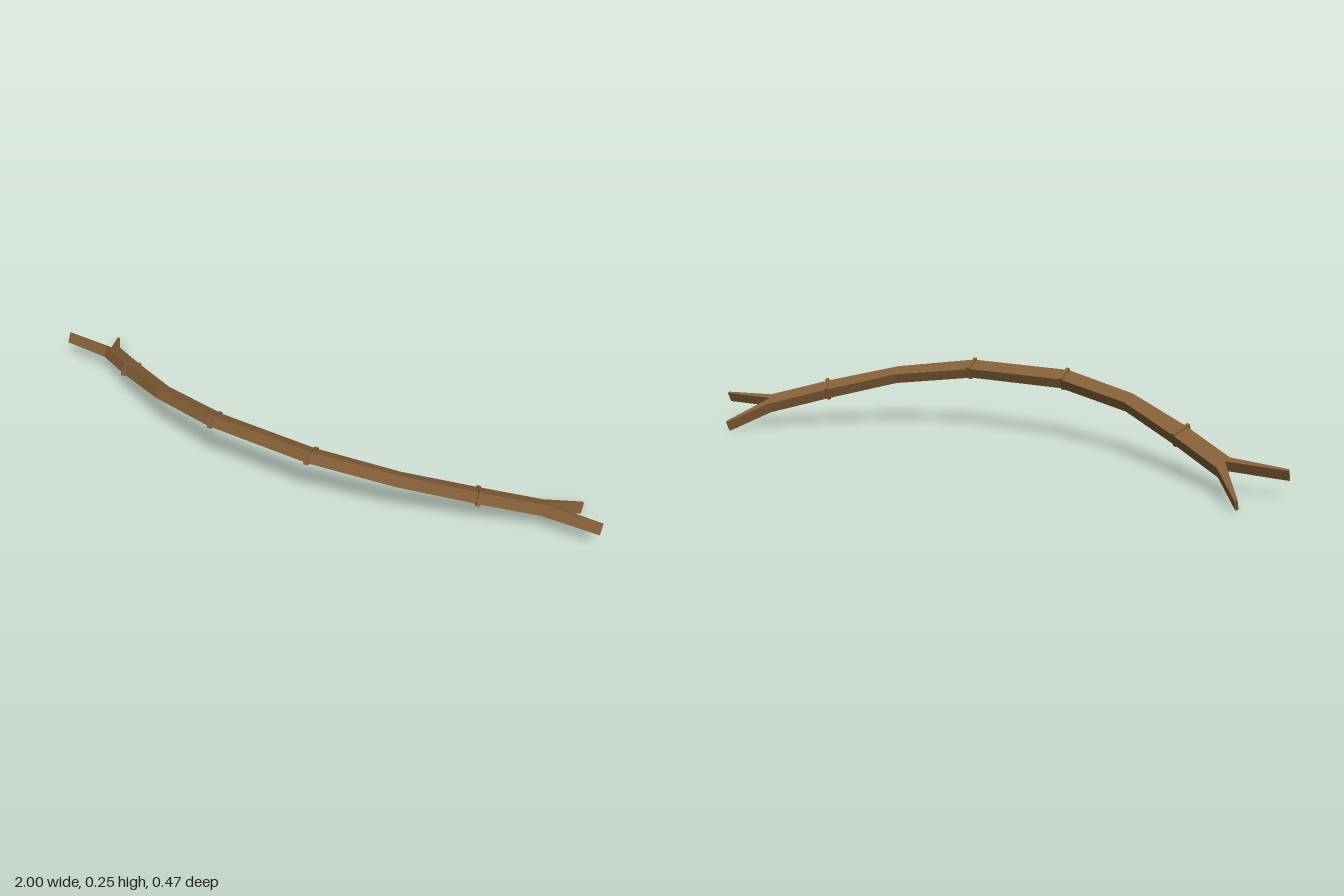
import * as THREE from 'three';

const TILT = -0.437; // the arc lies in a plane that rises towards the front

export function createModel() {
  const root = new THREE.Group();
  root.name = 'forkedBow';
  const wood = new THREE.MeshStandardMaterial({ color: 0x845f37 });
  wood.name = 'brown wood';

  // Left half of the outline (x, depth): front edge, forked end, back edge
  const half = [
    [0.178, 0.243], [0.436, 0.16], [0.655, 0.036], [0.824, -0.076],
    [1.0, -0.092], [1.0, -0.1], [0.816, -0.096],
    [0.9, -0.246], [0.892, -0.251], [0.803, -0.129],
    [0.632, -0.015], [0.425, 0.112], [0.167, 0.189],
  ];
  const mirrored = half.map(([x, d]) => [-x, d]).reverse();
  const shape = new THREE.Shape([...half, ...mirrored].map(([x, d]) => new THREE.Vector2(x, d)));

  // Curved limb with both forks, cut from one flat slab
  const limbGeometry = new THREE.ExtrudeGeometry(shape, { depth: 0.036, bevelEnabled: false });
  limbGeometry.translate(0, 0, -0.018);
  limbGeometry.rotateX(Math.PI / 2);
  const limb = new THREE.Mesh(limbGeometry, wood);
  limb.name = 'limb';

  const tilted = new THREE.Group();
  tilted.name = 'tiltedBow';
  tilted.rotation.x = TILT;
  tilted.position.y = 0.126;
  tilted.add(limb);

  // Narrow bands wrapped around the limb
  for (const side of [1, -1]) {
    for (const [name, x, depth, length, turn] of [
      ['innerBand', 0.174, 0.218, 0.06, 0],
      ['outerBand', 0.645, 0.014, 0.065, 0.48],
    ]) {
      const band = new THREE.Mesh(new THREE.BoxGeometry(0.012, 0.046, length), wood);
      band.name = (side > 0 ? 'left ' : 'right ') + name;
      band.position.set(side * x, 0, depth);
      band.rotation.y = side * turn;
      tilted.add(band);
    }
  }
  root.add(tilted);
  return root;
}
